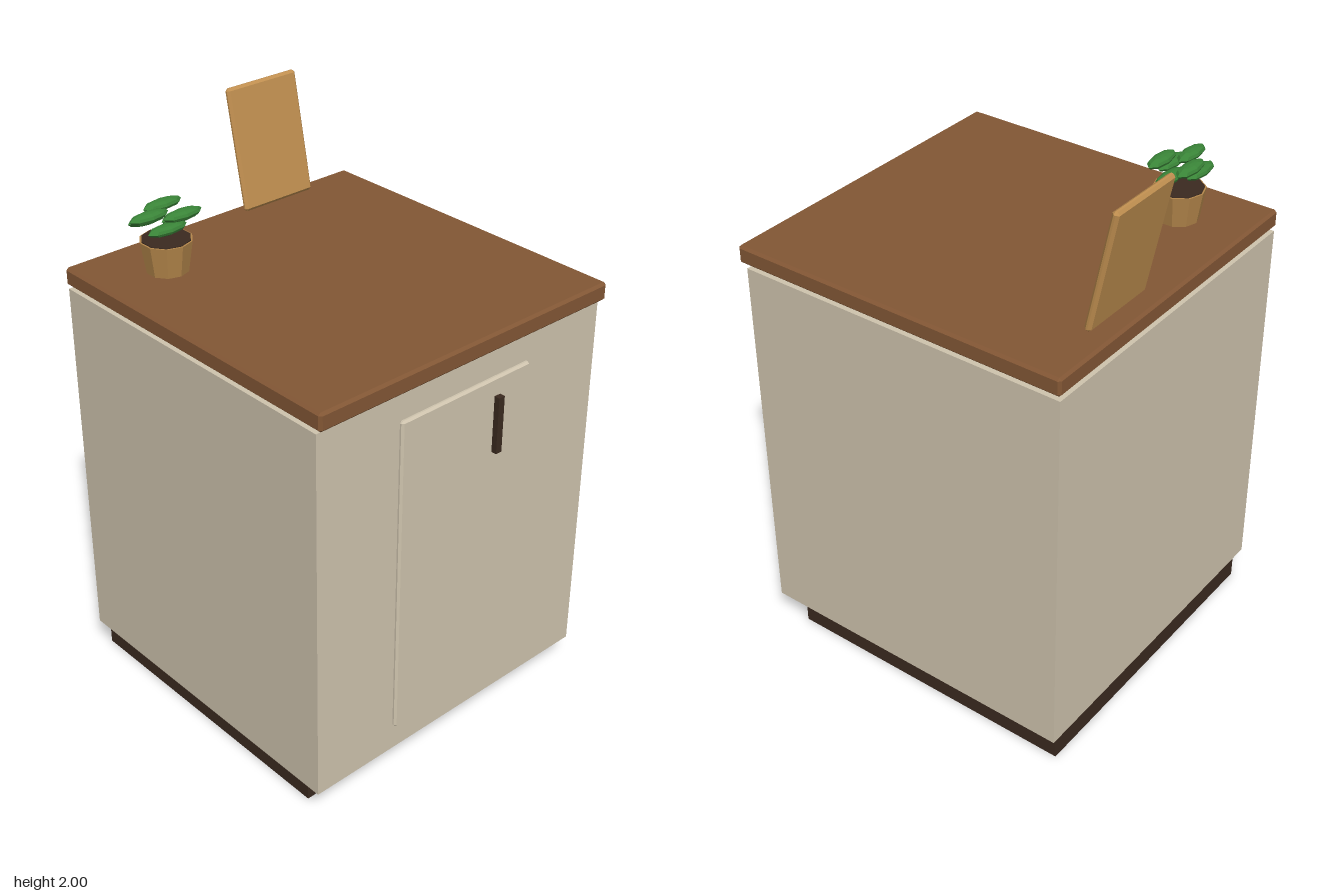
import * as THREE from 'three';
import { ConvexGeometry } from 'three/addons/geometries/ConvexGeometry.js';

const material = (name, color, flatShading = false) => {
  const m = new THREE.MeshStandardMaterial({ color, flatShading });
  m.name = name;
  return m;
};

// Box with every edge cut by a flat chamfer c
function chamferBox(w, h, d, c) {
  const points = [];
  for (const x of [-1, 1]) for (const y of [-1, 1]) for (const z of [-1, 1]) {
    for (let axis = 0; axis < 3; axis++) {
      const half = [w / 2, h / 2, d / 2].map((s, i) => (i === axis ? s : s - c));
      points.push(new THREE.Vector3(x * half[0], y * half[1], z * half[2]));
    }
  }
  return new ConvexGeometry(points);
}

export function createModel() {
  const model = new THREE.Group();
  model.name = 'kitchenCabinet';

  const cream = material('cream paint', 0xcfc4ae);
  const walnut = material('walnut', 0x835735);
  const dark = material('dark brown', 0x3b2a20);
  const oak = material('light wood', 0xc08f50);
  const clay = material('pot wood', 0xb5874b, true);
  const green = material('leaf green', 0x3a8538, true);

  const add = (name, geometry, mat, x, y, z, parent = model) => {
    const mesh = new THREE.Mesh(geometry, mat);
    mesh.name = name;
    mesh.position.set(x, y, z);
    parent.add(mesh);
    return mesh;
  };

  // Cabinet
  add('plinth', new THREE.BoxGeometry(1.15, 0.105, 1.12), dark, 0, 0.0525, -0.04);
  add('carcass', new THREE.BoxGeometry(1.22, 1.38, 1.226), cream, 0, 0.795, -0.003);
  add('door', chamferBox(0.56, 1.19, 0.02, 0.007), cream, 0, 0.8, 0.615);
  add('handle', new THREE.BoxGeometry(0.025, 0.205, 0.022), dark, 0.132, 1.227, 0.634);
  add('worktop', chamferBox(1.234, 0.065, 1.256, 0.009), walnut, 0, 1.532, 0.009);

  // Cutting board leaning backwards
  const board = add('cuttingBoard', chamferBox(0.302, 0.43, 0.025, 0.009), oak, 0.236, 1.787, -0.588);
  board.rotation.x = -0.2;

  // Potted plant
  const plant = new THREE.Group();
  plant.name = 'pottedPlant';
  plant.position.set(-0.376, 1.565, -0.381);
  model.add(plant);
  add('pot', new THREE.CylinderGeometry(0.089, 0.072, 0.11, 10), clay, 0, 0.055, 0, plant);
  add('soil', new THREE.CylinderGeometry(0.083, 0.083, 0.012, 10), dark, 0, 0.107, 0, plant);

  // Ring of six flattened leaves, alternating in height
  const leaf = new THREE.SphereGeometry(1, 8, 6).scale(0.076, 0.018, 0.029);
  for (let i = 0; i < 6; i++) {
    const a = (i * Math.PI) / 3;
    add('leaf', leaf, green, 0.062 * Math.cos(a), i % 2 ? 0.204 : 0.171, 0.062 * Math.sin(a), plant);
  }

  return model;
}
